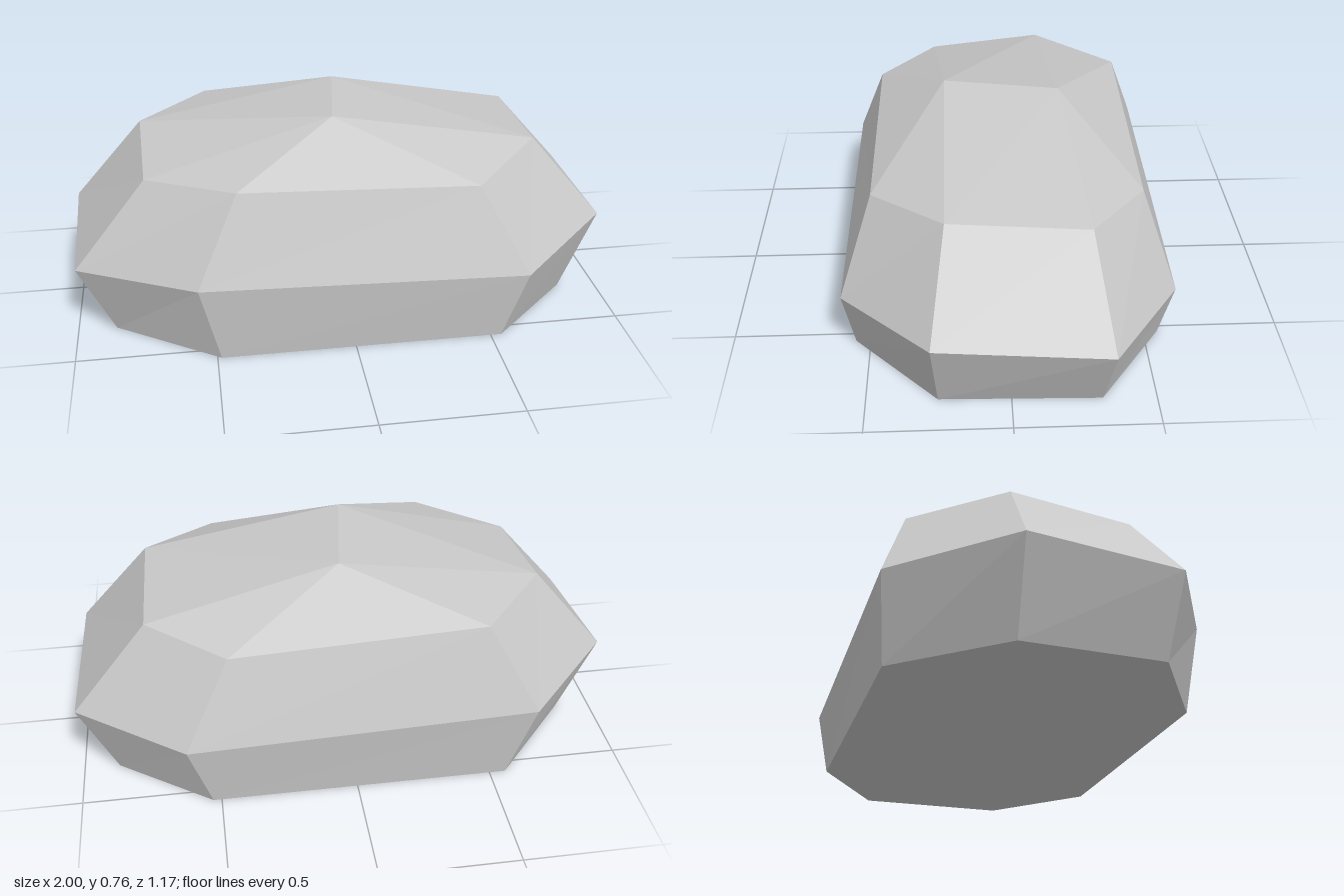
import * as THREE from 'three';

// Faceted boulder: three eight-sided rings, closed by a short ridge on top.
// Rings run anticlockwise seen from above, starting at the front left corner.
const baseRing = [
  [0.54, 0, 0.553], [0.855, 0, 0.253], [0.87, 0, -0.313], [0.53, 0, -0.553],
  [-0.56, 0, -0.553], [-0.87, 0, -0.2], [-0.86, 0, 0.305], [-0.485, 0, 0.553],
];
const girdleRing = [
  [0.62, 0.263, 0.585], [0.98, 0.319, 0.268], [1, 0.288, -0.333], [0.61, 0.258, -0.588],
  [-0.65, 0.3, -0.588], [-1, 0.31, -0.212], [-0.985, 0.268, 0.325], [-0.555, 0.298, 0.583],
];
const shoulderRing = [
  [0.45, 0.577, 0.473], [0.715, 0.631, 0.215], [0.725, 0.602, -0.272], [0.445, 0.57, -0.478],
  [-0.475, 0.614, -0.478], [-0.735, 0.623, -0.175], [-0.72, 0.582, 0.265], [-0.405, 0.61, 0.473],
];
const frontPeak = [-0.04, 0.763, 0.215];
const backPeak = [0.02, 0.753, -0.207];

// Unshared corners give every facet its own flat normal
function meshFrom(name, triangles, material) {
  const geometry = new THREE.BufferGeometry();
  geometry.setAttribute('position', new THREE.Float32BufferAttribute(triangles.flat(2), 3));
  geometry.computeVertexNormals();
  const mesh = new THREE.Mesh(geometry, material);
  mesh.name = name;
  return mesh;
}

// Band of facets between two rings
function band(lower, upper) {
  return lower.flatMap((a, i) => {
    const j = (i + 1) % lower.length;
    return [[a, lower[j], upper[j]], [a, upper[j], upper[i]]];
  });
}

export function createModel() {
  const stone = new THREE.MeshStandardMaterial({ color: 0xc8c8c8 });
  stone.name = 'stone grey';

  const rock = new THREE.Group();
  rock.name = 'rock';

  // Sides
  rock.add(meshFrom('lowerSides', band(baseRing, girdleRing), stone));
  rock.add(meshFrom('upperSides', band(girdleRing, shoulderRing), stone));

  // Crown: front corners fan to one peak, back corners to the other
  const s = shoulderRing;
  const crown = [[frontPeak, s[1], backPeak], [frontPeak, backPeak, s[5]]];
  for (const i of [5, 6, 7, 0]) crown.push([frontPeak, s[i], s[(i + 1) % 8]]);
  for (const i of [1, 2, 3, 4]) crown.push([backPeak, s[i], s[i + 1]]);
  rock.add(meshFrom('crown', crown, stone));

  // Flat underside
  const underside = [];
  for (let i = 1; i < 7; i++) underside.push([baseRing[0], baseRing[i + 1], baseRing[i]]);
  rock.add(meshFrom('underside', underside, stone));

  return rock;
}
